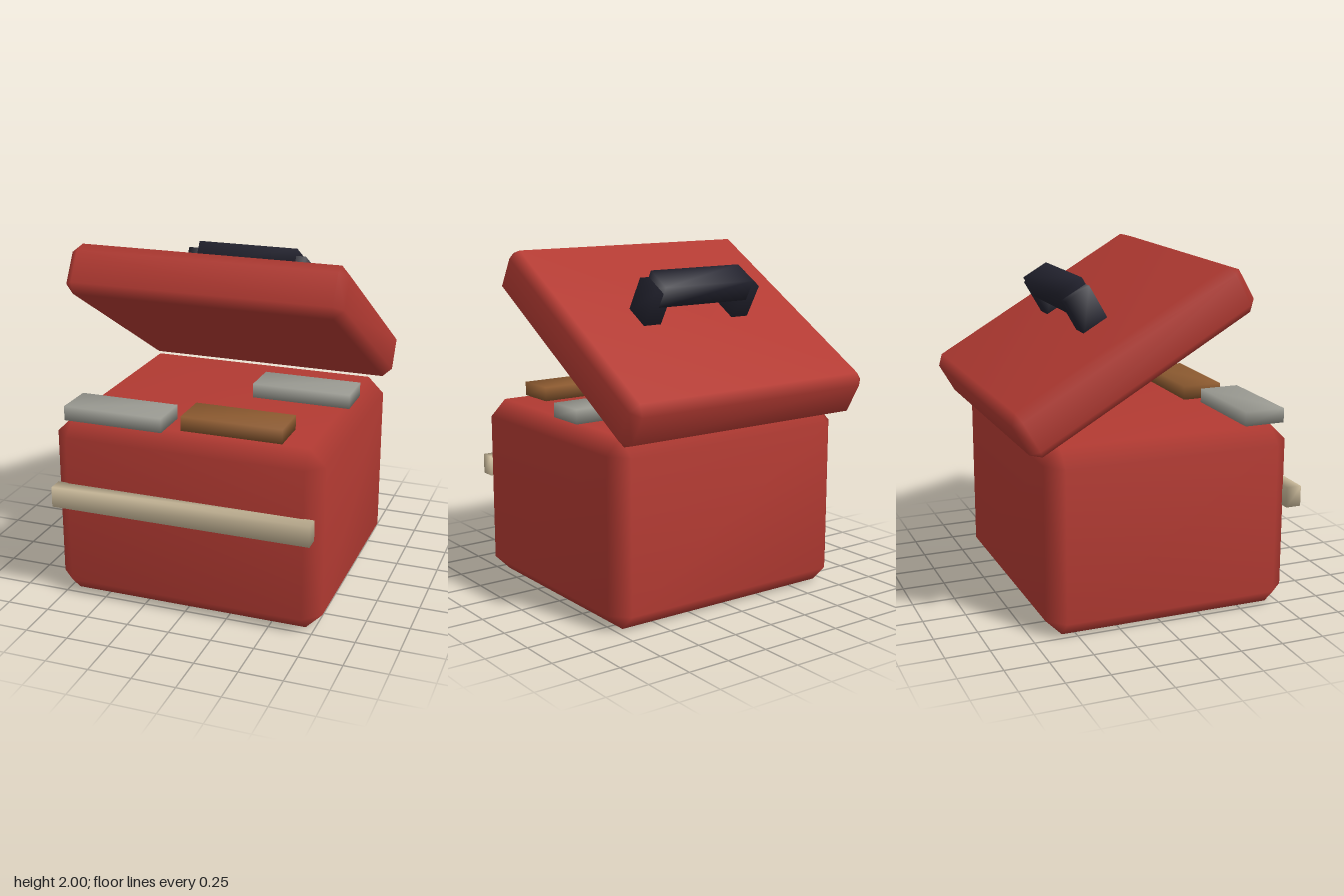
import * as THREE from 'three';
import { mergeVertices } from 'three/addons/utils/BufferGeometryUtils.js';
import { ConvexGeometry } from 'three/addons/geometries/ConvexGeometry.js';

const material = (name, color) => {
  const m = new THREE.MeshStandardMaterial({ color });
  m.name = name;
  return m;
};

// Share corner vertices so shading runs softly over the edges
function smooth(geometry) {
  geometry.deleteAttribute('normal');
  geometry.deleteAttribute('uv');
  const merged = mergeVertices(geometry, 1e-4);
  merged.computeVertexNormals();
  return merged;
}

// Box with one flat chamfer on every edge
function chamferBox(w, h, d, c) {
  const points = [];
  for (const x of [-1, 1]) for (const y of [-1, 1]) for (const z of [-1, 1]) {
    for (let axis = 0; axis < 3; axis++) {
      const half = [w / 2, h / 2, d / 2].map((s, i) => (i === axis ? s : s - c));
      points.push(new THREE.Vector3(x * half[0], y * half[1], z * half[2]));
    }
  }
  return smooth(new ConvexGeometry(points));
}

const softBox = (w, h, d) => smooth(new THREE.BoxGeometry(w, h, d));

function add(parent, name, geometry, mat, x, y, z) {
  const mesh = new THREE.Mesh(geometry, mat);
  mesh.name = name;
  mesh.position.set(x, y, z);
  parent.add(mesh);
  return mesh;
}

export function createModel() {
  const red = material('red paint', 0xb23a32);
  const black = material('black grip', 0x22222e);
  const grey = material('grey metal', 0x9a9a92);
  const brown = material('brown wood', 0x8c5a30);
  const cream = material('cream trim', 0xc8b899);

  const model = new THREE.Group();
  model.name = 'toolbox';

  // Chest and front trim
  add(model, 'chest', chamferBox(1.586, 1.075, 1.45, 0.095), red, 0, 0.5375, 0.055);
  add(model, 'frontTrim', softBox(1.52, 0.12, 0.09), cream, 0, 0.645, 0.818);

  // Small slabs hovering over the chest
  const slab = softBox(0.585, 0.083, 0.24);
  add(model, 'frontSlab', slab, grey, -0.417, 1.122, 0.643);
  add(model, 'woodSlab', slab, brown, 0.255, 1.122, 0.573);
  add(model, 'rearSlab', slab, grey, 0.447, 1.122, -0.08);

  // Raised lid, hinging towards the back
  const lid = new THREE.Group();
  lid.name = 'lid';
  lid.position.set(0, 1.523, -0.167);
  lid.rotation.x = -Math.PI / 6;
  model.add(lid);
  add(lid, 'lidShell', chamferBox(1.62, 0.295, 1.486, 0.053), red, 0, 0, 0);

  // Handle on the lid
  for (const side of [-1, 1]) {
    add(lid, 'handlePost', softBox(0.115, 0.22, 0.162), black, side * 0.309, 0.2475, -0.004);
  }
  add(lid, 'handleGrip', softBox(0.615, 0.135, 0.164), black, 0, 0.333, -0.004);

  return model;
}
